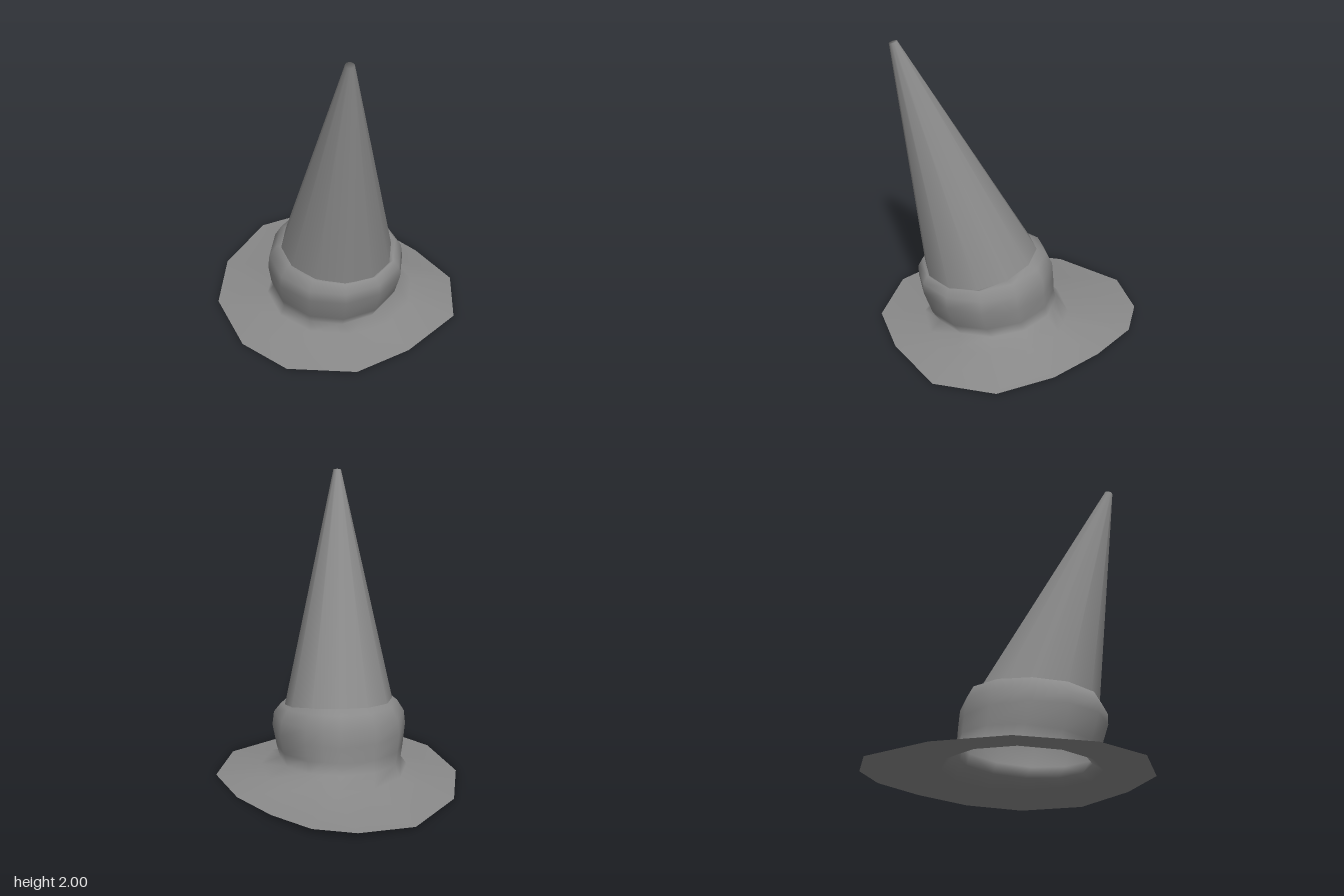
import * as THREE from 'three';

const SIDES = 12;

// Closed 12-sided ring from its extents; heights at back and front, and a dip on the front left.
function ring(x0, x1, z0, z1, yBack, yFront, dip = 0) {
  const points = [];
  for (let i = 0; i < SIDES; i++) {
    const a = (i / SIDES) * Math.PI * 2;
    const s = Math.sin(a), c = Math.cos(a);
    points.push(new THREE.Vector3(
      (x0 + x1) / 2 + s * (x1 - x0) / 2,
      (yBack + yFront) / 2 + c * (yBack - yFront) / 2 - dip * s * (1 - c + s) / 2,
      (z0 + z1) / 2 - c * (z1 - z0) / 2));
  }
  return points;
}

// Extra column between the first two, matching the brim's 13 corners.
function addColumn(points) {
  const mid = points[0].clone().lerp(points[1], 0.5);
  return [points[0], mid, ...points.slice(1)];
}

// Smooth skin through rings, wrapping around; optionally closed at the last ring.
function loft(rings, capped = false) {
  const n = rings[0].length;
  const positions = rings.flat().flatMap((p) => p.toArray());
  const index = [];
  for (let r = 0; r < rings.length - 1; r++) {
    for (let i = 0; i < n; i++) {
      const a = r * n + i, b = r * n + (i + 1) % n;
      index.push(a, a + n, b, b, a + n, b + n);
    }
  }
  if (capped) {
    const last = (rings.length - 1) * n;
    for (let i = 1; i < n - 1; i++) index.push(last, last + i + 1, last + i);
  }
  const geometry = new THREE.BufferGeometry();
  geometry.setAttribute('position', new THREE.Float32BufferAttribute(positions, 3));
  geometry.setIndex(index);
  geometry.computeVertexNormals();
  return geometry;
}

export function createModel() {
  const hat = new THREE.Group();
  hat.name = 'pointedHat';
  const material = new THREE.MeshStandardMaterial({ color: 0x8a8a8a, side: THREE.DoubleSide });
  const add = (name, geometry) => {
    const mesh = new THREE.Mesh(geometry, material);
    mesh.name = name;
    hat.add(mesh);
  };

  // Uneven outer edge of the brim (x, z), clockwise from the back
  const brimEdge = [
    [-0.1, -0.89], [0.17, -0.83], [0.42, -0.61], [0.65, -0.32], [0.82, 0.04],
    [0.74, 0.45], [0.37, 0.74], [0.01, 0.89], [-0.42, 0.8], [-0.68, 0.53],
    [-0.82, 0.07], [-0.74, -0.38], [-0.45, -0.79],
  ].map(([x, z]) => new THREE.Vector3(x, z < -0.8 ? 0.03 : z < -0.6 ? 0.015 : 0, z));

  // Brim and puffed band are one thin continuous skin
  const skin = [
    ring(-0.48, 0.52, -0.42, 0.58, 0.06, 0.04, -0.01),
    ring(-0.44, 0.385, -0.33, 0.51, 0.14, 0.07),
    ring(-0.455, 0.41, -0.315, 0.56, 0.22, 0.15),
    ring(-0.472, 0.437, -0.31, 0.615, 0.32, 0.32),
    ring(-0.462, 0.425, -0.3, 0.615, 0.43, 0.39),
    ring(-0.415, 0.38, -0.255, 0.585, 0.52, 0.45, 0.02),
    ring(-0.378, 0.345, -0.185, 0.54, 0.55, 0.44, 0.045),
  ].map(addColumn);
  add('brimAndBand', loft([brimEdge, ...skin]));

  // Leaning cone with a small blunt tip, its open foot tucked inside the band
  add('cone', loft([
    ring(-0.405, 0.373, -0.25, 0.557, 0.45, 0.34, 0.045),
    ring(-0.047, 0.007, 0.668, 0.72, 2.0, 1.985),
  ], true));

  return hat;
}
